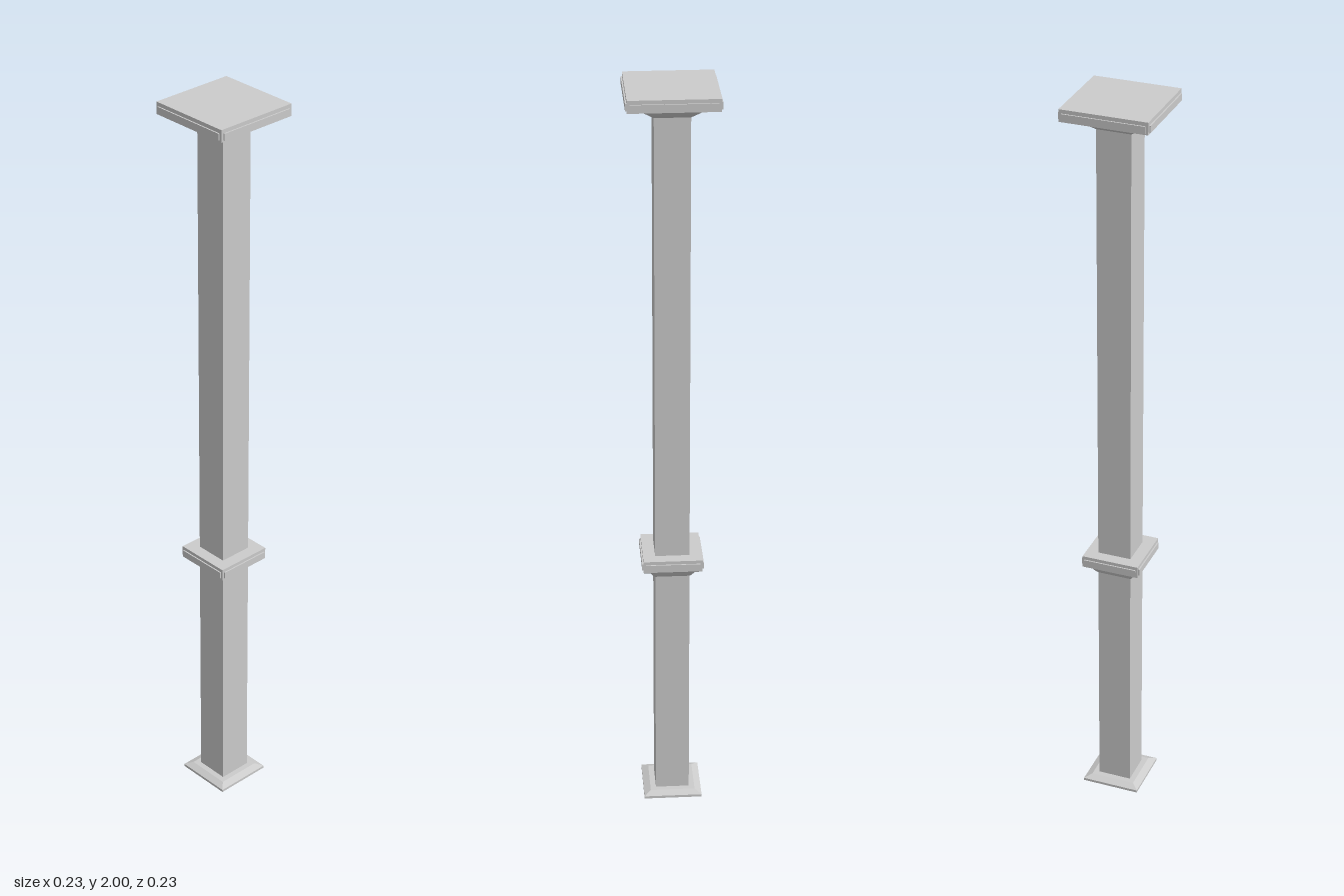
import * as THREE from 'three';

const material = new THREE.MeshStandardMaterial({ color: 0xcccccc, flatShading: true });

// Square-plan solid from [halfWidth, y] pairs, listed bottom to top
function squareTurned(name, profile) {
  const points = profile.map(([half, y]) => new THREE.Vector2(half * Math.SQRT2, y));
  const geometry = new THREE.LatheGeometry(points, 4, Math.PI / 4).toNonIndexed();
  geometry.computeVertexNormals();
  const mesh = new THREE.Mesh(geometry, material);
  mesh.name = name;
  return mesh;
}

// Slim raised band on each of the four edges of a slab
function edgeBands(name, half, y, height, inset) {
  const group = new THREE.Group();
  group.name = name;
  const depth = 0.004;
  for (let i = 0; i < 4; i++) {
    const side = new THREE.Group();
    const band = new THREE.Mesh(new THREE.BoxGeometry(2 * (half - inset), height, depth), material);
    band.name = 'edgeBand';
    band.position.set(0, y, half + depth / 2 - 0.0005);
    side.add(band);
    side.rotation.y = i * Math.PI / 2;
    group.add(side);
  }
  return group;
}

export function createModel() {
  const model = new THREE.Group();
  model.name = 'post';

  // Thin foot plate with a bevelled top
  model.add(squareTurned('footPlate', [
    [0, 0], [0.078, 0], [0.078, 0.007], [0.06, 0.015], [0, 0.015],
  ]));

  // Long square shaft
  model.add(squareTurned('shaft', [[0.045, 0.01], [0.045, 1.965]]));

  // Collar: cove below a square slab
  model.add(squareTurned('collar', [
    [0.045, 0.675], [0.051, 0.682], [0.058, 0.693], [0.07, 0.7],
    [0.077, 0.705], [0.077, 0.737], [0.04, 0.737],
  ]));
  model.add(edgeBands('collarBands', 0.077, 0.719, 0.018, 0.006));

  // Cap: wider cove below a square slab
  model.add(squareTurned('cap', [
    [0.045, 1.933], [0.055, 1.941], [0.073, 1.956], [0.1, 1.964],
    [0.113, 1.968], [0.113, 2], [0, 2],
  ]));
  model.add(edgeBands('capBands', 0.113, 1.981, 0.018, 0.007));

  return model;
}
